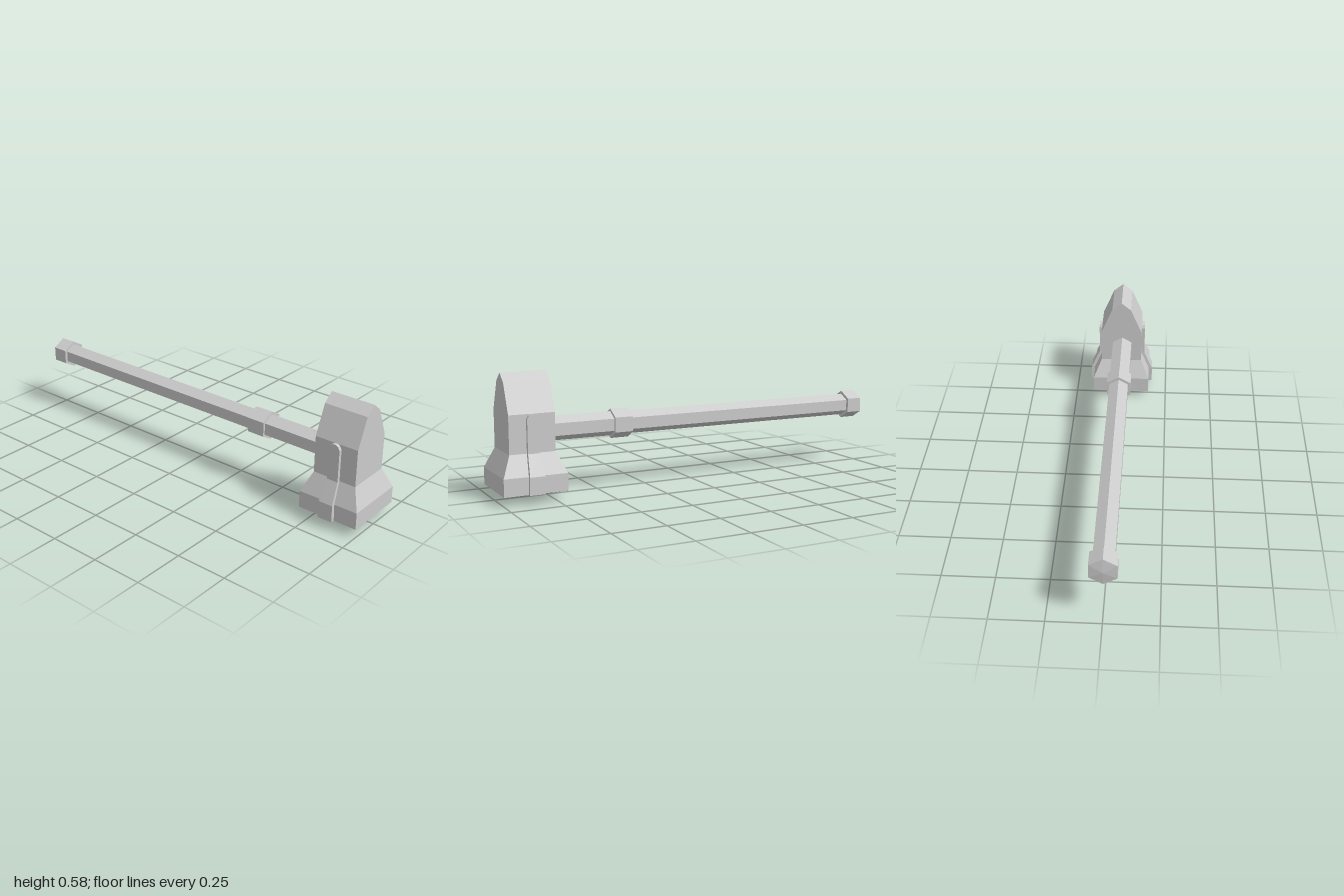
import * as THREE from 'three';

const material = new THREE.MeshStandardMaterial({ color: 0xcccccc, flatShading: true });
const HEAD_Z = 0.85;
const SHAFT_X = -0.004, SHAFT_Y = 0.307;

// Rectangular sections [y, xMin, xMax, halfDepth], bottom to top, skinned and capped
function loft(sections) {
  const rings = sections.map(([y, x0, x1, hz]) => [
    [x0, y, hz], [x1, y, hz], [x1, y, -hz], [x0, y, -hz],
  ]);
  const positions = [];
  const same = (p, q) => p.every((v, i) => Math.abs(v - q[i]) < 1e-6);
  const tri = (a, b, c) => {
    if (!same(a, b) && !same(b, c) && !same(c, a)) positions.push(...a, ...b, ...c);
  };
  const quad = (a, b, c, d) => { tri(a, b, c); tri(a, c, d); };
  for (let i = 0; i < rings.length - 1; i++) {
    const lo = rings[i], hi = rings[i + 1];
    for (let j = 0; j < 4; j++) {
      const k = (j + 1) % 4;
      quad(lo[j], lo[k], hi[k], hi[j]);
    }
  }
  const first = rings[0], last = rings[rings.length - 1];
  quad(first[3], first[2], first[1], first[0]);
  quad(...last);
  const geometry = new THREE.BufferGeometry();
  geometry.setAttribute('position', new THREE.Float32BufferAttribute(positions, 3));
  geometry.computeVertexNormals();
  return geometry;
}

// Hexagonal bar along z with a corner pointing up
function hexBar(name, zFront, zBack, rFront, rBack = rFront) {
  const geometry = new THREE.CylinderGeometry(rBack, rFront, zFront - zBack, 6);
  geometry.rotateX(-Math.PI / 2);
  const mesh = new THREE.Mesh(geometry, material);
  mesh.name = name;
  mesh.position.set(SHAFT_X, SHAFT_Y, (zFront + zBack) / 2);
  return mesh;
}

export function createModel() {
  const model = new THREE.Group();
  model.name = 'warHammer';

  // Head: pointed base, flared striking block, tapered ridge on top
  const head = new THREE.Group();
  head.name = 'head';
  head.position.z = HEAD_Z;
  const block = new THREE.Mesh(loft([
    [0, 0, 0, 0],
    [0.043, -0.152, 0.152, 0.15],
    [0.125, -0.152, 0.152, 0.15],
    [0.222, -0.109, 0.109, 0.108],
    [0.4, -0.109, 0.109, 0.108],
    [0.538, -0.05, 0.05, 0.108],
    [0.578, 0, 0, 0.108],
  ]), material);
  block.name = 'headBlock';
  head.add(block);

  // Raised round-topped rib on each side of the head
  const rib = [
    [0.043, 0.13, 0.17, 0.037],
    [0.125, 0.13, 0.17, 0.035],
    [0.222, 0.09, 0.125, 0.027],
    [0.378, 0.09, 0.125, 0.027],
    [0.394, 0.09, 0.125, 0.018],
    [0.4, 0.09, 0.125, 0.008],
  ];
  const mirrored = rib.map(([y, x0, x1, hz]) => [y, -x1, -x0, hz]);
  [['leftRib', rib], ['rightRib', mirrored]].forEach(([name, sections]) => {
    const mesh = new THREE.Mesh(loft(sections), material);
    mesh.name = name;
    head.add(mesh);
  });
  model.add(head);

  // Handle: shaft in two thicknesses, collar, pommel with shallow pointed end
  const handle = new THREE.Group();
  handle.name = 'handle';
  handle.add(
    hexBar('frontShaft', 0.78, 0.38, 0.058),
    hexBar('rearShaft', 0.38, -0.95, 0.055),
    hexBar('collar', 0.425, 0.335, 0.071),
    hexBar('pommel', -0.913, -0.993, 0.071),
    hexBar('pommelTip', -0.993, -1, 0.071, 0),
  );
  model.add(handle);
  return model;
}
